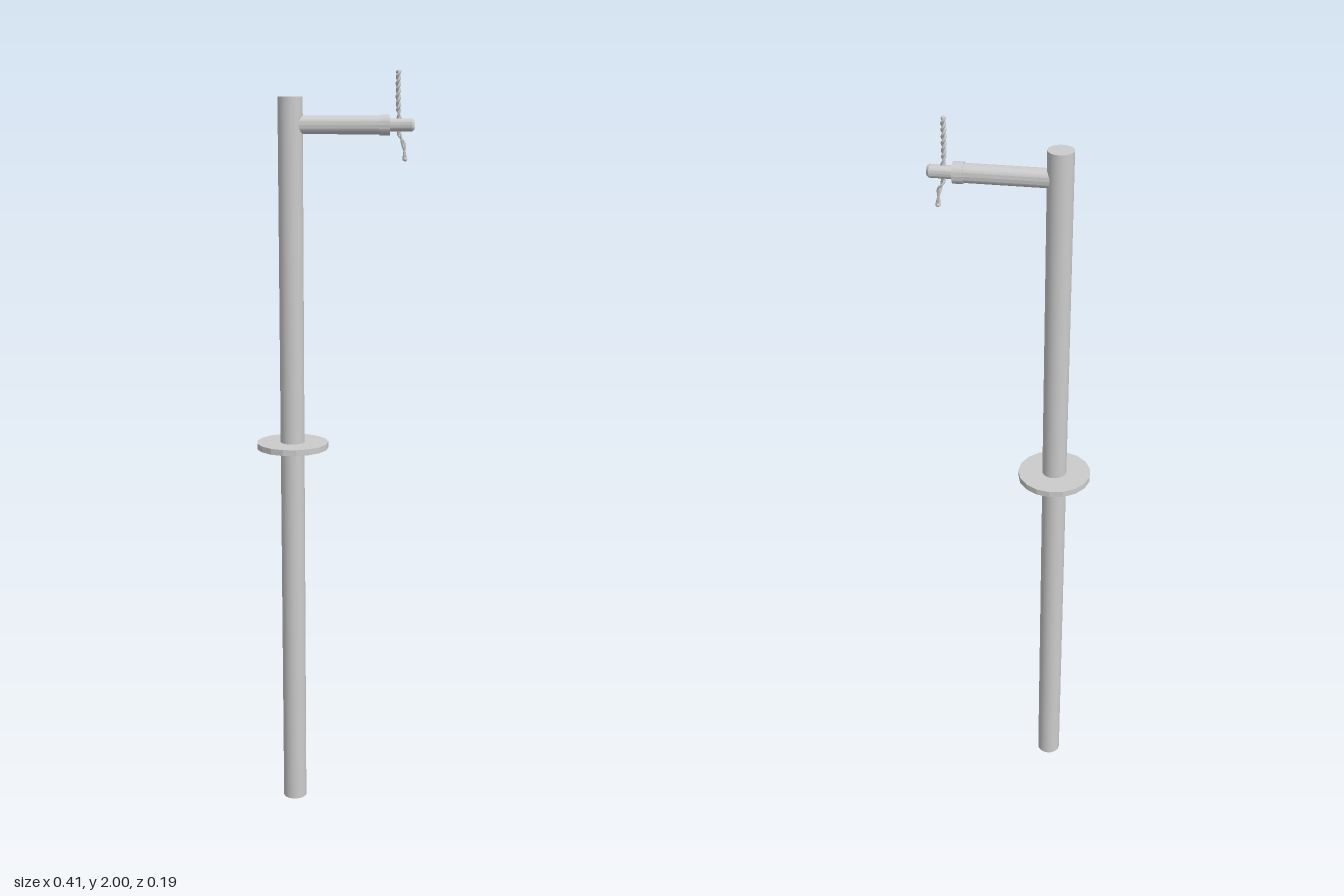
import * as THREE from 'three';
import { toCreasedNormals } from 'three/addons/utils/BufferGeometryUtils.js';

const material = new THREE.MeshStandardMaterial({ color: 0xcccccc });
const postX = -0.11, armY = 1.865;

function addMesh(group, name, geometry) {
  const mesh = new THREE.Mesh(geometry, material);
  mesh.name = name;
  group.add(mesh);
  return mesh;
}

// One strand wound around a centre path lying in the x-y plane
function strand(path, turns, phase, offset, radius, segments) {
  const points = [];
  for (let i = 0; i <= segments; i++) {
    const t = i / segments;
    const tangent = path.getTangent(t);
    const side = new THREE.Vector3(-tangent.y, tangent.x, 0);
    const a = phase + t * turns * Math.PI * 2;
    points.push(path.getPoint(t)
      .addScaledVector(side, Math.cos(a) * offset)
      .add(new THREE.Vector3(0, 0, Math.sin(a) * offset)));
  }
  return new THREE.TubeGeometry(new THREE.CatmullRomCurve3(points), segments * 2, radius, 6);
}

export function createModel() {
  const model = new THREE.Group();
  model.name = 'postWithArm';

  // Upright post
  addMesh(model, 'post', new THREE.CylinderGeometry(0.032, 0.032, 1.935, 32))
    .position.set(postX, 1.935 / 2, 0);

  // Faceted disc around the middle
  const disc = addMesh(model, 'disc',
    toCreasedNormals(new THREE.CylinderGeometry(0.096, 0.096, 0.016, 17), 0.3));
  disc.position.set(postX, 1.03, 0);
  disc.rotation.y = Math.PI;

  // Side arm with collar and chamfered tip, turned around the x axis
  const profile = [
    [0, -0.1], [0.023, -0.1], [0.023, 0.117], [0.026, 0.117], [0.026, 0.143],
    [0.016, 0.143], [0.016, 0.199], [0.011, 0.205], [0, 0.205],
  ].map(([r, x]) => new THREE.Vector2(r, x));
  const arm = addMesh(model, 'arm', toCreasedNormals(new THREE.LatheGeometry(profile, 16), 0.5));
  arm.rotation.z = -Math.PI / 2;
  arm.position.y = armY;

  // Twisted cord rising from the tip, with a loose tail hanging below
  const cord = new THREE.Group();
  cord.name = 'cord';
  model.add(cord);
  const curve = points => new THREE.CatmullRomCurve3(points.map(([x, y]) => new THREE.Vector3(x, y, 0)));
  const upper = curve([[0.164, 1.90], [0.163, 1.95], [0.163, 1.997]]);
  const knot = curve([[0.165, 1.85], [0.166, 1.88], [0.164, 1.905]]);
  const tail = curve([[0.165, 1.865], [0.167, 1.842], [0.177, 1.82], [0.182, 1.778]]);
  for (const phase of [0, Math.PI]) {
    addMesh(cord, 'upperStrand', strand(upper, 3, phase, 0.0035, 0.0035, 48));
    addMesh(cord, 'middleStrand', strand(knot, 1, phase, 0.004, 0.0028, 24));
    addMesh(cord, 'tailStrand', strand(tail, 1.5, phase, 0.0032, 0.0028, 32));
  }
  // Rounded ends of the cord
  for (const [x, y] of [[0.163, 1.995], [0.182, 1.78]]) {
    addMesh(cord, 'cordEnd', new THREE.SphereGeometry(0.005, 10, 8)).position.set(x, y, 0);
  }

  return model;
}
